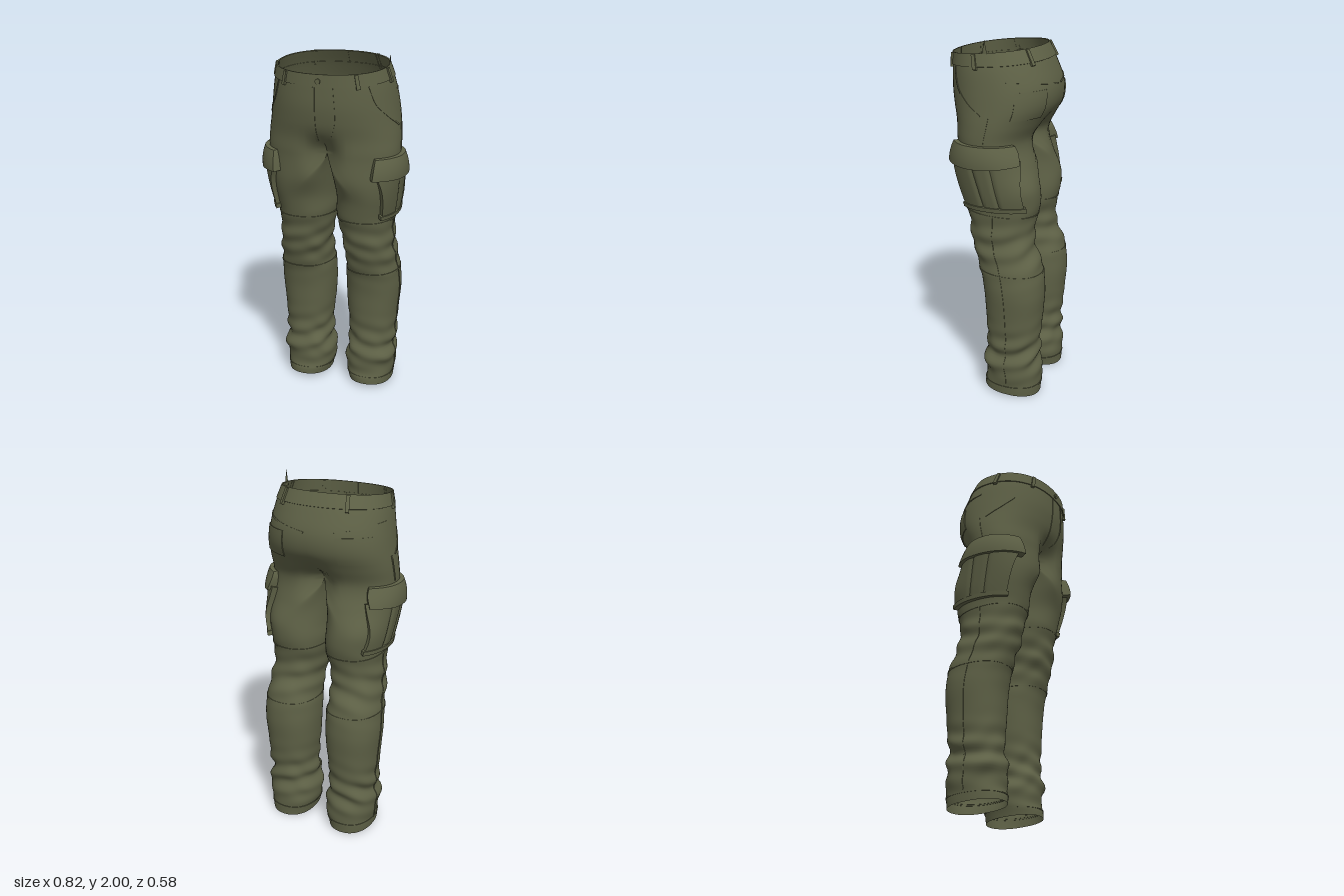
import * as THREE from 'three';
import { mergeVertices, toCreasedNormals } from 'three/addons/utils/BufferGeometryUtils.js';

const CROTCH = 1.47, TOP = 1.93, PI = Math.PI;

// Cross-sections: y, inner x, outer x, front z, back z
const SECTIONS = [
  [0.00, 0.065, 0.320, 0.060, -0.260], [0.05, 0.055, 0.325, 0.058, -0.262],
  [0.11, 0.042, 0.330, 0.045, -0.265], [0.19, 0.050, 0.340, 0.062, -0.260],
  [0.27, 0.062, 0.328, 0.042, -0.250], [0.36, 0.062, 0.335, 0.042, -0.258],
  [0.50, 0.048, 0.345, 0.050, -0.270], [0.62, 0.042, 0.355, 0.058, -0.278],
  [0.74, 0.045, 0.350, 0.080, -0.268], [0.82, 0.052, 0.338, 0.105, -0.245],
  [0.91, 0.045, 0.332, 0.132, -0.212], [1.00, 0.030, 0.325, 0.145, -0.212],
  [1.10, 0.010, 0.330, 0.170, -0.235], [1.20, 0.014, 0.345, 0.190, -0.238],
  [1.33, 0.010, 0.358, 0.228, -0.205], [1.47, 0.000, 0.368, 0.245, -0.190],
  [1.56, 0.000, 0.365, 0.252, -0.232], [1.65, 0.000, 0.353, 0.272, -0.280],
  [1.74, 0.000, 0.340, 0.284, -0.285], [1.84, 0.000, 0.322, 0.285, -0.245],
  [1.93, 0.000, 0.297, 0.282, -0.195],
];

// Smooth interpolation of the cross-section table
function section(y) {
  const n = SECTIONS.length;
  let i = 0;
  while (i < n - 2 && y > SECTIONS[i + 1][0]) i++;
  const a = SECTIONS[i], b = SECTIONS[i + 1];
  const p = SECTIONS[Math.max(i - 1, 0)], q = SECTIONS[Math.min(i + 2, n - 1)];
  const h = b[0] - a[0], f = THREE.MathUtils.clamp((y - a[0]) / h, 0, 1), f2 = f * f, f3 = f2 * f;
  return [1, 2, 3, 4].map((k) => {
    const ma = (b[k] - p[k]) / (b[0] - p[0]), mb = (q[k] - a[k]) / (q[0] - a[0]);
    return (2 * f3 - 3 * f2 + 1) * a[k] + (f3 - 2 * f2 + f) * h * ma
      + (3 * f2 - 2 * f3) * b[k] + (f3 - f2) * h * mb;
  });
}

const bump = (y, mid, width) => Math.exp(-(((y - mid) / width) ** 2));
const power = (v, p) => Math.sign(v) * Math.abs(v) ** p;

// Cloth surface of the left half; t runs front (0), outside, back (PI), inside
function surface(t, y) {
  const [xin, xo, zf, zb] = section(y);
  const blend = 1 - THREE.MathUtils.smoothstep(y, 1.2, CROTCH);
  const c = xin + (xo - xin) * 0.5 * blend, zm = (zf + zb) / 2;
  const s = Math.sin(t), k = Math.cos(t);
  let x = c + (s > 0 ? xo - c : c - xin) * power(s, 0.9);
  let z = zm + (zf - zb) / 2 * power(k, 0.9);
  // Recess of the crotch between the thighs
  const d = (y > CROTCH ? bump(y, CROTCH, 0.08) : bump(y, CROTCH, 0.13)) * 0.42;
  z = zm + (z - zm) * (1 - d * Math.exp(-((x / 0.07) ** 2)));
  // Folds of the cloth, strongest above the hem and around the knee
  const amp = 0.009 * bump(y, 0.25, 0.13) + 0.006 * bump(y, 0.9, 0.14);
  const w = amp * (Math.sin(58 * y + 2.6 * Math.sin(t + 0.6)) + 0.6 * Math.sin(37 * y - 3 * Math.cos(2 * t)));
  x += w * s;
  z += w * k;
  // Waist dips to the front, hem lifts over the foot
  y += -0.02 * k * THREE.MathUtils.smoothstep(y, 1.65, TOP) + 0.012 * (1 + k) * (1 - THREE.MathUtils.smoothstep(y, 0, 0.1));
  return new THREE.Vector3(x, y, z);
}

// Point raised above the cloth
function raised(t, y, off) {
  const e = 0.004, p = surface(t, y);
  const dt = surface(t + e, y).sub(surface(t - e, y));
  const dy = surface(t, Math.min(y + e, TOP)).sub(surface(t, Math.max(y - e, 0)));
  return p.addScaledVector(dt.cross(dy).normalize(), off);
}

// Angle at which the outer side passes a given depth z
function angleAt(z, y) {
  const [, , zf, zb] = section(y);
  const k = (z - (zf + zb) / 2) / ((zf - zb) / 2);
  return Math.acos(THREE.MathUtils.clamp(power(k, 1 / 0.9), -1, 1));
}

// Grid of points to triangles; side -1 mirrors it to the right
function grid(nu, nv, side, point, pos = [], index = []) {
  const base = pos.length / 3;
  for (let j = 0; j <= nv; j++) for (let i = 0; i <= nu; i++) {
    const p = point(i, j);
    pos.push(p.x * side, p.y, p.z);
  }
  for (let j = 0; j < nv; j++) for (let i = 0; i < nu; i++) {
    const a = base + j * (nu + 1) + i, b = a + 1, c = b + nu + 1, d = a + nu + 1;
    if (side > 0) index.push(a, b, c, a, c, d);
    else index.push(a, c, b, a, d, c);
  }
  return { pos, index };
}

function toGeometry({ pos, index }) {
  const g = new THREE.BufferGeometry();
  g.setAttribute('position', new THREE.Float32BufferAttribute(pos, 3));
  g.setIndex(index);
  return g;
}

export function createModel() {
  const model = new THREE.Group();
  model.name = 'cargoTrousers';
  const olive = new THREE.MeshStandardMaterial({ color: 0x5e6146, side: THREE.DoubleSide });
  olive.name = 'olive cloth';
  const add = (name, geometry) => {
    const m = new THREE.Mesh(geometry, olive);
    m.name = name;
    model.add(m);
    return m;
  };

  // Legs and hips as one welded cloth
  const pos = [], index = [], N = 56, LEG = 110, HIP = 30;
  for (const side of [1, -1]) {
    grid(N, LEG, side, (i, j) => surface((i % N) / N * 2 * PI, j / LEG * CROTCH), pos, index);
    grid(N / 2, HIP, side, (i, j) => surface(i / N * 2 * PI, CROTCH + j / HIP * (TOP - CROTCH)), pos, index);
  }
  const cloth = mergeVertices(toGeometry({ pos, index }), 1e-4);
  cloth.computeVertexNormals();
  add('legsAndHips', cloth);

  // Raised piece of cloth with closed edges; at(u, v) gives [t, y], off its height
  function panel(name, at, off, nu, nv, sides = [1, -1]) {
    for (const side of sides) {
      const g = toGeometry(grid(nu + 2, nv + 2, side, (i, j) => {
        const u = THREE.MathUtils.clamp((i - 1) / nu, 0, 1), v = THREE.MathUtils.clamp((j - 1) / nv, 0, 1);
        const edge = i === 0 || j === 0 || i === nu + 2 || j === nv + 2;
        const [t, y] = at(u, v);
        return raised(t, y, edge ? -0.002 : typeof off === 'function' ? off(u, v) : off);
      }));
      add((side > 0 ? 'left' : 'right') + name, toCreasedNormals(g, 0.7));
    }
  }
  const mix = THREE.MathUtils.lerp;

  // Cargo pocket with pleats, bottom hem and flap
  const byDepth = (front, back, y0, y1) => (u, v) => {
    const y = mix(y0, y1, v);
    return [angleAt(mix(mix(front[0], front[1], v), mix(back[0], back[1], v), u), y), y];
  };
  panel('CargoPocket', byDepth([0.12, 0.185], [-0.19, -0.145], 1.13, 1.38),
    (u, v) => 0.022 + 0.012 * v - 0.009 * (bump(u, 0.36, 0.03) + bump(u, 0.64, 0.03)), 36, 12);
  panel('CargoPocketHem', byDepth([0.125, 0.13], [-0.195, -0.195], 1.115, 1.14), 0.028, 20, 2);
  panel('CargoPocketFlap', byDepth([0.195, 0.185], [-0.14, -0.125], 1.355, 1.468),
    (u, v) => 0.05 - 0.026 * v * v, 24, 8);

  // Waistband and belt loops
  panel('Waistband', (u, v) => [u * PI, mix(1.865, TOP, v)], 0.005, 40, 3);
  for (const t of [0.63, 1.45, 2.55]) {
    panel('BeltLoop', (u, v) => [t + (u - 0.5) * 0.07, mix(1.85, 1.925, v)], 0.014, 2, 3);
  }

  // Raised seam along a path of [t, y] points
  function seam(name, points, sides, width = 0.008) {
    const curve = new THREE.CatmullRomCurve3(points.map(([t, y]) => new THREE.Vector3(t, y, 0)));
    const steps = 40;
    panel(name, (u, v) => {
      const p = curve.getPoint(u), d = curve.getTangent(u);
      const k = (v - 0.5) * width / Math.hypot(d.x * 0.25, d.y);
      return [p.x - d.y * k * 4, p.y + d.x * k * 0.25];
    }, 0.003, steps, 1, sides);
  }
  seam('SideSeam', [[1.62, 1.62], [1.64, 1.48]]);
  seam('LegSeam', [[1.55, 1.1], [1.5, 0.75], [1.55, 0.4], [1.55, 0.07]]);
  seam('SlashPocket', [[0.85, 1.86], [0.92, 1.77], [1.15, 1.69], [1.5, 1.62]]);
  seam('Fly', [[0.06, 1.86], [0.06, 1.7], [0.06, 1.54]], [-1]);
  seam('FlyStitch', [[0.2, 1.86], [0.2, 1.68], [0.14, 1.6], [0.06, 1.55]], [1], 0.005);

  // Seams around the thigh, knee and hem
  for (const [name, y, tilt] of [['ThighSeam', 1.075, 0.01], ['KneeSeam', 0.745, 0.006], ['HemSeam', 0.055, 0]]) {
    panel(name, (u, v) => [u * 2 * PI, y + tilt * Math.cos(u * 2 * PI) + (v - 0.5) * 0.009], 0.003, 48, 1);
  }

  // Back yoke and back pockets
  seam('BackYoke', [[1.68, 1.8], [2.4, 1.78], [3.1, 1.75]]);
  panel('BackPocket', (u, v) => [mix(2.05, 2.72, u), mix(1.6, 1.74, v)], 0.004, 12, 6);

  // Waist button
  const button = add('waistButton', new THREE.CylinderGeometry(0.014, 0.014, 0.012, 20));
  button.rotation.x = PI / 2;
  button.position.set(0, 1.875, 0.289);

  // Pointed end of the left side loop
  const tip = add('leftLoopTip', new THREE.ConeGeometry(0.018, 0.09, 4));
  tip.scale.x = 0.15;
  tip.position.set(0.3, 1.955, 0.018);

  return model;
}
